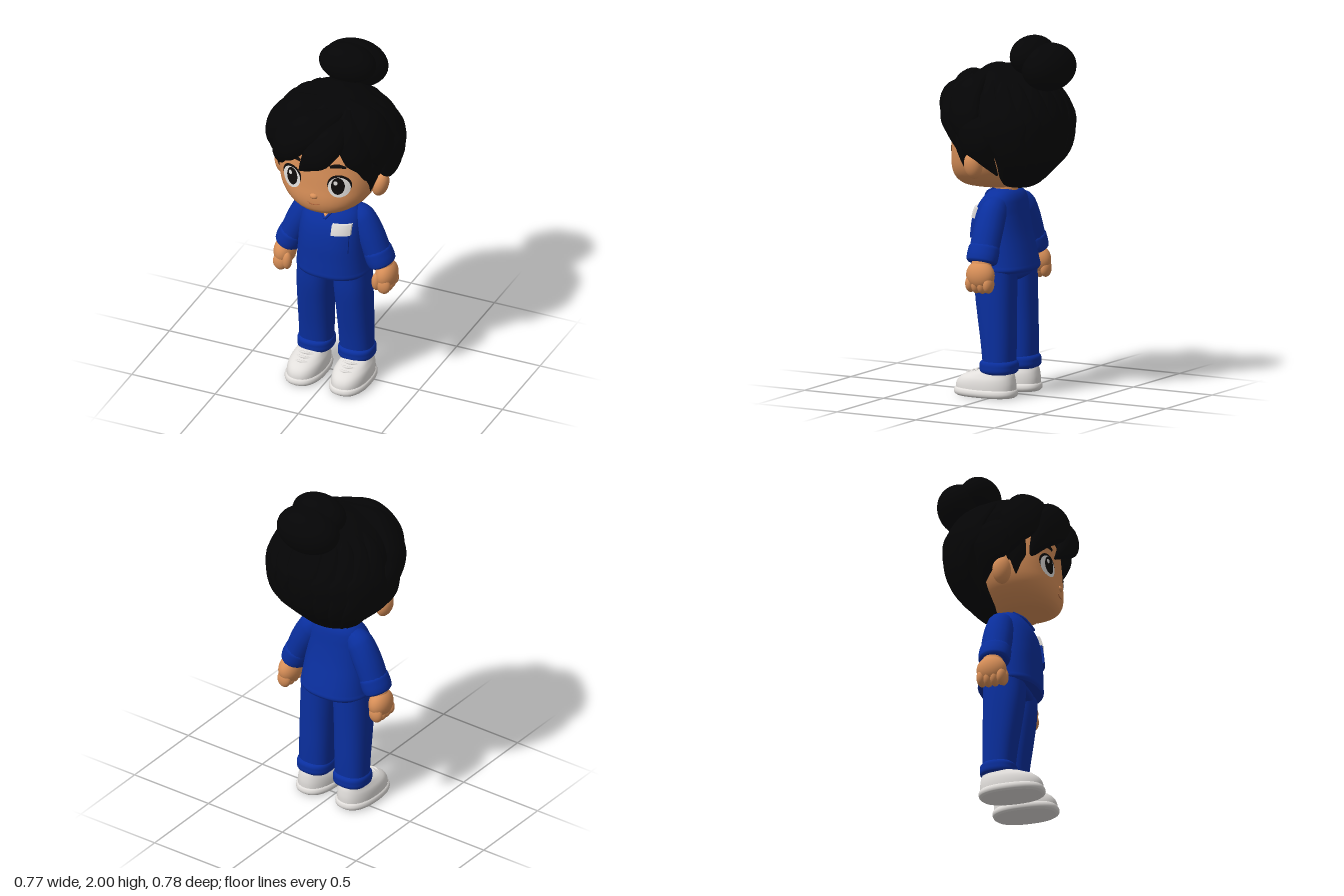
import * as THREE from 'three';

const mat = (name, color) => Object.assign(new THREE.MeshStandardMaterial({ color }), { name });
const skin = mat('skin', 0xd88f58);
const hair = mat('black hair', 0x050506);
const blue = mat('blue fabric', 0x0a2f9e);
const white = mat('off white', 0xe2dfdc);
const dark = mat('dark eye', 0x0f0b0a);
const lip = mat('lip', 0xb0683e);

const SEG = 36;
const V = (x, y, z) => new THREE.Vector3(x, y, z);

// Closed skin over a list of point loops, with flat ends
function skinLoops(loops) {
  const mid = (l) => l.reduce((s, p) => s.add(p), V(0, 0, 0)).divideScalar(l.length);
  const first = loops[0], last = loops[loops.length - 1];
  const all = [first.map(() => mid(first)), first, ...loops, last, last.map(() => mid(last))];
  const n = first.length, pos = [], idx = [];
  all.forEach((l) => l.forEach((p) => pos.push(p.x, p.y, p.z)));
  for (let i = 0; i < all.length - 1; i++) for (let j = 0; j < n; j++) {
    const a = i * n + j, c = i * n + (j + 1) % n;
    idx.push(a, a + n, c, a + n, c + n, c);
  }
  const g = new THREE.BufferGeometry();
  g.setAttribute('position', new THREE.Float32BufferAttribute(pos, 3));
  g.setIndex(idx);
  g.computeVertexNormals();
  return g;
}

// Upright body from rows of [y, centre x, half width, front z, back z]
function loft(rows, power = 2) {
  const curve = new THREE.CubicInterpolant(rows.map((r) => r[0]), rows.flatMap((r) => r.slice(1)), 4, new Float32Array(4));
  const sgnPow = (v) => Math.sign(v) * Math.abs(v) ** (2 / power);
  const at = (y, a, grow = 0) => {
    const [cx, rx, zf, zb] = curve.evaluate(y);
    return V(cx + (rx + grow) * sgnPow(Math.cos(a)), y, (zf + zb) / 2 + ((zf - zb) / 2 + grow) * sgnPow(Math.sin(a)));
  };
  const frontZ = (x, y) => {
    const [cx, rx, zf, zb] = curve.evaluate(y);
    const u = Math.min(1, Math.abs((x - cx) / rx));
    return (zf + zb) / 2 + (zf - zb) / 2 * (1 - u ** power) ** (1 / power);
  };
  const loops = [], steps = 4;
  for (let i = 0; i <= (rows.length - 1) * steps; i++) {
    const k = Math.min(Math.floor(i / steps), rows.length - 2), f = i / steps - k;
    const y = THREE.MathUtils.lerp(rows[k][0], rows[k + 1][0], f);
    loops.push(Array.from({ length: SEG }, (_, j) => at(y, j / SEG * Math.PI * 2)));
  }
  return { geometry: skinLoops(loops), at, frontZ };
}

// Tapered sweep; radii are [width, thickness], thickness points away from centre
function sweep(points, radii, centre, steps = 24, n = 16) {
  const path = new THREE.CatmullRomCurve3(points);
  const size = new THREE.CatmullRomCurve3(radii.map(([a, b]) => V(a, b, 0)));
  const loops = [];
  for (let i = 0; i <= steps; i++) {
    const t = i / steps, p = path.getPoint(t), T = path.getTangent(t), r = size.getPoint(t);
    const N = centre ? p.clone().sub(centre) : V(0, 0, 1);
    N.addScaledVector(T, -N.dot(T)).normalize();
    const S = T.clone().cross(N);
    loops.push(Array.from({ length: n }, (_, j) => {
      const a = j / n * Math.PI * 2;
      return p.clone().addScaledVector(S, r.x * Math.cos(a)).addScaledVector(N, r.y * Math.sin(a));
    }));
  }
  return skinLoops(loops);
}

// Press a flat geometry on to the front of a loft
function press(g, surface, offset) {
  const p = g.attributes.position;
  for (let i = 0; i < p.count; i++) p.setZ(i, p.getZ(i) + surface.frontZ(p.getX(i), p.getY(i)) + offset);
  g.computeVertexNormals();
  return g;
}

export function createModel() {
  const model = new THREE.Group();
  const add = (name, geometry, material) => {
    const m = new THREE.Mesh(geometry, material);
    m.name = name;
    model.add(m);
    return m;
  };
  const ball = (name, m, x, y, z, rx, ry, rz) => add(name, new THREE.SphereGeometry(1, 32, 20).scale(rx, ry, rz).translate(x, y, z), m);

  // Head and neck
  const head = loft([[1.142, 0, .05, .19, .0], [1.155, 0, .12, .245, -.04], [1.175, 0, .165, .275, -.07], [1.21, 0, .215, .293, -.1],
    [1.26, 0, .255, .3, -.13], [1.33, 0, .28, .295, -.15], [1.43, 0, .288, .288, -.16], [1.55, 0, .27, .27, -.16], [1.66, 0, .19, .19, -.1]], 2.3);
  add('head', head.geometry, skin);
  add('neck', new THREE.CylinderGeometry(.07, .075, .16, 28).translate(0, 1.12, .02), skin);
  ball('nose', skin, 0, 1.283, .292, .024, .018, .02);
  add('mouth', sweep([-.034, -.017, 0, .017, .034].map((x) => V(x, 1.232 + 7 * x * x, head.frontZ(x, 1.235))),
    [[.002, .002], [.003, .002], [.0035, .003], [.003, .002], [.002, .002]]), lip);

  // Eyes, brows and ears
  const disc = (name, m, x, y, rx, ry, offset) =>
    add(name, press(new THREE.RingGeometry(.001, 1, 36, 5).scale(rx, ry, 1).translate(x, y, 0), head, offset), m);
  for (const s of [1, -1]) {
    disc('upperLash', dark, s * .142, 1.377, .064, .06, .002);
    disc('eyeWhite', white, s * .142, 1.362, .059, .062, .004);
    disc('iris', dark, s * .137, 1.37, .036, .052, .006);
    disc('eyeHighlight', white, s * .137 - .012, 1.39, .011, .013, .008);
    const brow = [[.09, 1.482], [.13, 1.49], [.175, 1.482]].map(([x, y]) => V(s * x, y, head.frontZ(x, y)));
    add('eyebrow', sweep(brow, [[.009, .006], [.013, .008], [.006, .005]]), dark);
    const ear = ball('ear', skin, 0, 0, 0, .045, .077, .052);
    ear.position.set(s * .292, 1.302, .052);
    ear.rotation.z = -s * .25;
  }

  // Hair cap and overlapping strands round the back
  const cap = loft([[1.158, 0, .07, -.04, -.14], [1.17, 0, .13, -.02, -.165], [1.2, 0, .18, -.005, -.185], [1.24, 0, .22, 0, -.21], [1.29, 0, .265, .0, -.265],
    [1.36, 0, .305, .02, -.305], [1.45, 0, .34, .1, -.328], [1.53, 0, .352, .15, -.33], [1.61, 0, .332, .22, -.315], [1.7, 0, .275, .245, -.265],
    [1.77, 0, .19, .195, -.19], [1.81, 0, .11, .12, -.11], [1.828, 0, .04, .05, -.05]]);
  add('hairCap', cap.geometry, hair);
  const skull = V(0, 1.48, 0);
  for (const s of [1, -1]) for (let k = 0; k < 5; k++) {
    const path = [1.79, 1.7, 1.58, 1.46, 1.35, 1.25, 1.19].map((y, i) => {
      const a = -.05 - k * .33 - i * .03;
      return cap.at(y, s > 0 ? a : Math.PI - a, i ? -.008 : -.02);
    });
    add('backStrand', sweep(path, [[.008, .006], [.045, .019], [.065, .022], [.065, .022], [.055, .022], [.04, .02], [.015, .01]], skull), hair);
  }

  // Swept fringe, side locks and sideburns
  const lock = (name, pts, w, d) => add(name, sweep(pts.map((p) => V(...p)),
    [[w * .3, d * .4], [w * .95, d], [w, d], [w * .55, d * .7], [.006, .006]], skull, 30, 20), hair);
  lock('centreFringe', [[.14, 1.74, .19], [.105, 1.655, .295], [.04, 1.575, .335], [-.025, 1.5, .325], [-.085, 1.43, .295]], .085, .054);
  lock('rightFringe', [[.1, 1.77, .15], [-.04, 1.69, .275], [-.15, 1.6, .29], [-.215, 1.49, .25], [-.235, 1.38, .19]], .11, .068);
  lock('rightSideLock', [[.04, 1.79, .1], [-.17, 1.72, .17], [-.275, 1.6, .155], [-.305, 1.48, .115], [-.275, 1.36, .09]], .115, .065);
  lock('leftFringe', [[.13, 1.77, .13], [.175, 1.67, .22], [.228, 1.57, .23], [.255, 1.47, .195], [.25, 1.37, .17]], .085, .055);
  lock('leftSideLock', [[.1, 1.79, .08], [.245, 1.7, .11], [.305, 1.58, .1], [.315, 1.47, .08], [.28, 1.36, .07]], .11, .055);
  for (const s of [1, -1]) {
    lock('sideburn', [[.26, 1.52, .16], [.275, 1.46, .14], [.274, 1.4, .135], [.268, 1.34, .13], [.255, 1.28, .125]].map(([x, y, z]) => [s * x, y, z]), .05, .025);
    lock('lowSideLock', [[.27, 1.6, .0], [.325, 1.53, .02], [.332, 1.44, .0], [.31, 1.36, -.03], [.24, 1.25, -.07]].map(([x, y, z]) => [s * x, y, z]), .11, .05);
  }
  ball('bunTop', hair, 0, 1.89, -.155, .165, .11, .11);
  ball('bunBack', hair, 0, 1.833, -.258, .19, .132, .135);

  // Tunic with neckline, pocket and badge
  const torso = loft([[.69, 0, .2, .183, -.148], [.705, 0, .21, .19, -.156], [.73, 0, .207, .19, -.152], [.8, 0, .2, .188, -.135], [.9, 0, .19, .185, -.11],
    [1, 0, .18, .168, -.092], [1.06, 0, .17, .142, -.084], [1.1, 0, .15, .113, -.075], [1.13, 0, .115, .085, -.055], [1.143, 0, .08, .065, -.035]], 2.3);
  add('tunic', torso.geometry, blue);
  const neckline = new THREE.PlaneGeometry(2, 1, 10, 8);
  const np = neckline.attributes.position;
  for (let i = 0; i < np.count; i++) {
    const v = np.getY(i) + .5;
    np.setXY(i, np.getX(i) * .07 * v, 1.06 + .083 * v);
  }
  add('openNeckline', press(neckline, torso, .009), skin);
  for (const s of [1, -1]) {
    const edge = [0, .025, .05, .072].map((x) => V(s * x, 1.057 + x * 1.18, torso.frontZ(x, 1.057 + x * 1.18) + .005));
    add('collarEdge', sweep(edge, [[.007, .008], [.007, .008]], null, 12, 10), blue);
  }
  const plate = (name, m, x, y, w, h, d) =>
    add(name, press(new THREE.BoxGeometry(w, h, d, 8, 8, 1).translate(x, y, 0), torso, .004), m);
  plate('pocket', blue, .092, .925, .1, .11, .014);
  plate('badge', white, .1, 1.01, .098, .06, .026);

  // Sleeves, hands, trousers and shoes, mirrored
  for (const s of [1, -1]) {
    add('sleeve', sweep([V(s * .1, 1.075, .005), V(s * .155, 1.025, .005), V(s * .205, .94, .005), V(s * .262, .81, .005)],
      [[.05, .055], [.08, .076], [.08, .083], [.074, .083]]), blue);
    add('sleeveCuff', sweep([V(s * .246, .855, .005), V(s * .252, .84, .005), V(s * .268, .8, .005), V(s * .28, .772, .005), V(s * .284, .762, .005)],
      [[.068, .08], [.077, .088], [.079, .09], [.075, .087], [.064, .076]], null, 16, 28), blue);
    add('wrist', sweep([V(s * .27, .82, 0), V(s * .295, .74, 0)], [[.045, .05], [.05, .06]]), skin);
    ball('palm', skin, s * .305, .7, -.002, .06, .08, .084);
    for (let k = 0; k < 4; k++) ball('finger', skin, s * .31, .652 - (k % 3 ? .004 : 0), -.056 + k * .037, .042, .05, .028);
    ball('thumb', skin, s * .268, .668, .056, .027, .052, .028);

    const leg = loft([[.15, s * .121, .093, .068, -.1], [.3, s * .119, .096, .085, -.103], [.45, s * .116, .099, .108, -.102], [.6, s * .111, .102, .128, -.102], [.72, s * .107, .1, .13, -.102]], 2.4);
    add('trouserLeg', leg.geometry, blue);
    const cuff = loft([[.13, s * .122, .088, .075, -.1], [.142, s * .122, .099, .086, -.113], [.168, s * .122, .102, .088, -.116], [.192, s * .122, .099, .086, -.113], [.204, s * .122, .09, .072, -.1]], 2.4);
    add('trouserCuff', cuff.geometry, blue);

    const sole = loft([[0, s * .133, .096, .235, -.108], [.01, s * .133, .107, .248, -.12], [.036, s * .133, .107, .248, -.12], [.044, s * .133, .1, .241, -.114]], 2.4);
    add('shoeSole', sole.geometry, white);
    const upper = loft([[.03, s * .133, .101, .242, -.114], [.07, s * .133, .1, .237, -.115], [.1, s * .133, .094, .215, -.112], [.122, s * .133, .083, .175, -.108], [.138, s * .133, .074, .125, -.102], [.148, s * .133, .066, .09, -.096]], 2.3);
    add('shoeUpper', upper.geometry, white);
    for (let k = 0; k < 3; k++) {
      const y = .119 + k * .011, z = .176 - k * .03;
      add('lace', sweep([V(s * .133 - .045, y - .006, z - .016), V(s * .133, y + .002, z), V(s * .133 + .045, y - .006, z - .016)],
        [[.007, .007], [.008, .008], [.007, .007]], null, 12, 10), white);
    }
  }
  add('hips', loft([[.635, 0, .1, .07, -.06], [.66, 0, .19, .122, -.1], [.7, 0, .205, .13, -.105], [.74, 0, .2, .13, -.105]], 2.5).geometry, blue);
  return model;
}
